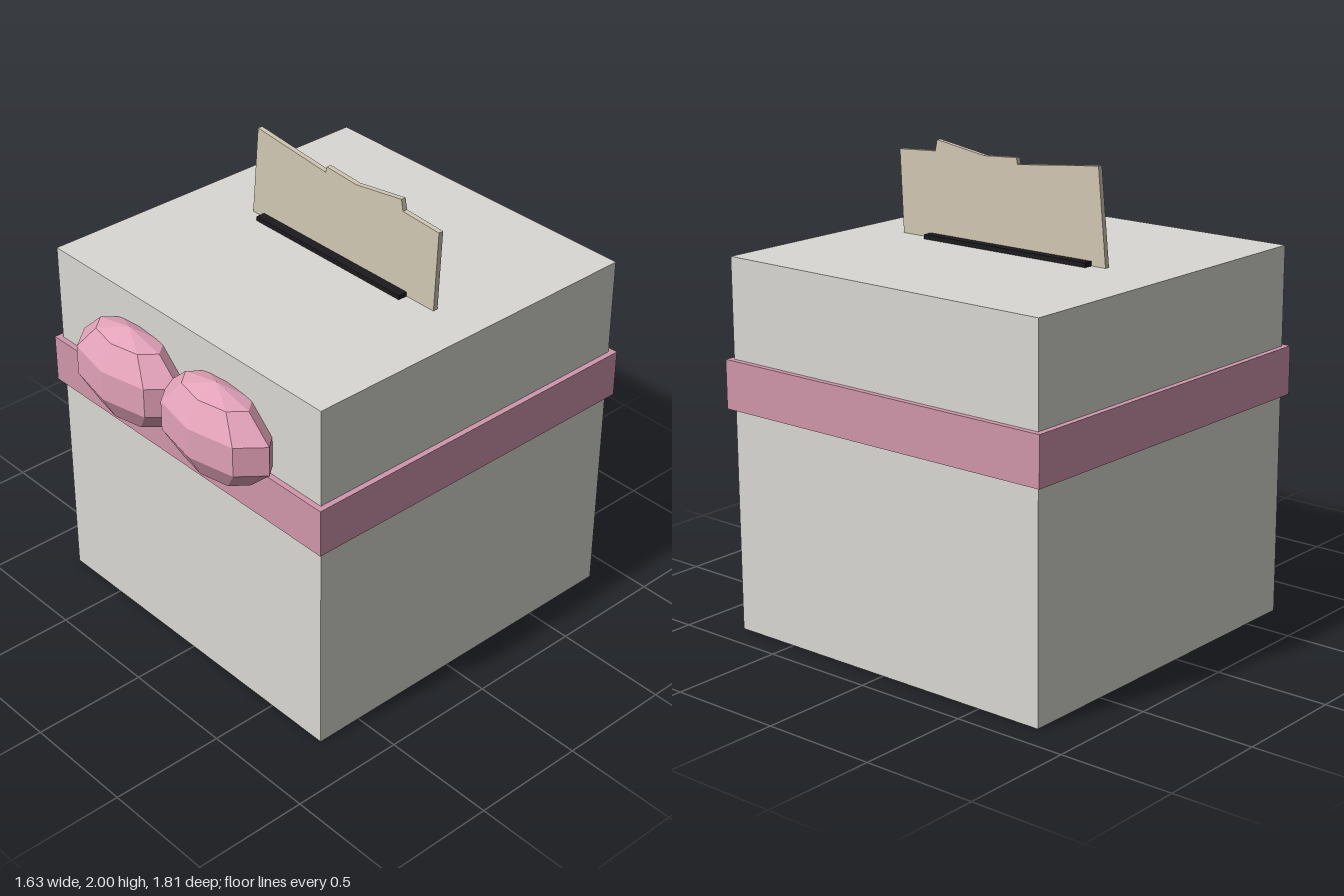
import * as THREE from 'three';

const CENTER_Z = -0.088;

function part(name, geometry, color, x = 0, y = 0, z = CENTER_Z, flatShading = false) {
  const mesh = new THREE.Mesh(geometry, new THREE.MeshStandardMaterial({ color, flatShading }));
  mesh.name = name;
  mesh.position.set(x, y, z);
  return mesh;
}

export function createModel() {
  const group = new THREE.Group();
  group.name = 'ballotBox';

  // Box body with the ribbon band around it
  group.add(part('boxBody', new THREE.BoxGeometry(1.585, 1.588, 1.585), 0xd9d8d4, 0, 0.794));
  group.add(part('ribbonBand', new THREE.BoxGeometry(1.634, 0.208, 1.634), 0xd097ab, 0, 1.06));

  // Dark slot on the lid
  group.add(part('slot', new THREE.BoxGeometry(0.845, 0.03, 0.105), 0x1c1a1e, 0, 1.592, -0.09));

  // Torn sheet standing in the slot
  const outline = [
    [-0.495, 1.55], [-0.452, 1.987], [-0.045, 1.946], [-0.04, 1.973], [0.13, 1.962],
    [0.382, 2.0], [0.392, 1.952], [0.588, 1.94], [0.57, 1.55],
  ].map(([x, y]) => new THREE.Vector2(x, y));
  const sheet = new THREE.ExtrudeGeometry(new THREE.Shape(outline), { depth: 0.022, bevelEnabled: false });
  group.add(part('paperSheet', sheet, 0xd2c8b3, 0, 0, -0.101));

  // Two faceted bow loops on the front
  for (const side of [1, -1]) {
    const loop = new THREE.SphereGeometry(1, 8, 5).scale(0.315, 0.21, 0.157);
    const name = side > 0 ? 'leftBowLoop' : 'rightBowLoop';
    group.add(part(name, loop, 0xe3a2b9, side * 0.265, 1.27, 0.756, true));
  }

  return group;
}
